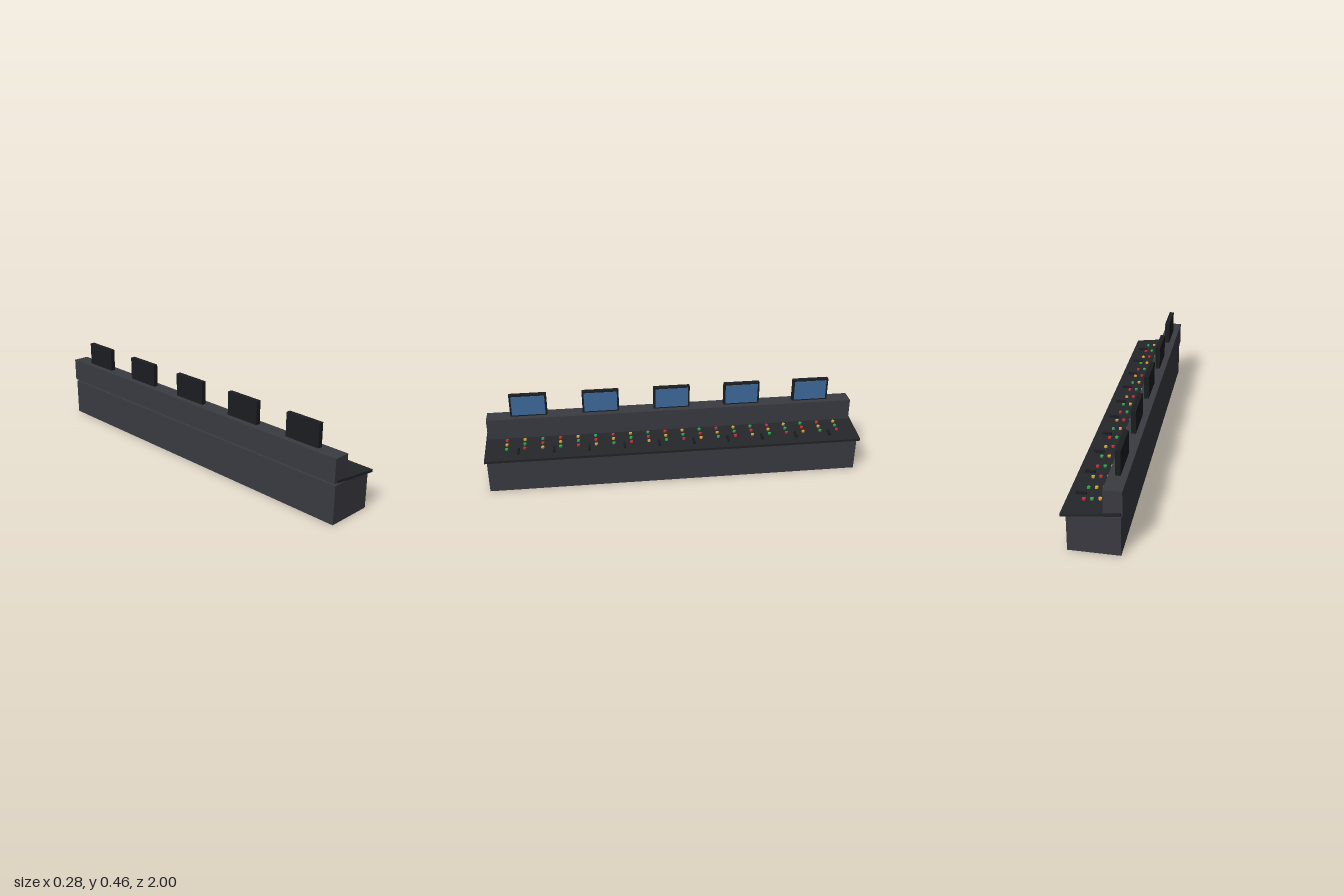
import * as THREE from 'three';

const mat = (color) => new THREE.MeshStandardMaterial({ color });

export function createModel() {
  const console_ = new THREE.Group();
  console_.name = 'controlConsole';
  const body = mat(0x3a3b42), dark = mat(0x242629), black = mat(0x1c1d20), glass = mat(0x3f6ca0);
  const lights = [mat(0xc8303c), mat(0xd8a838), mat(0x30a850)];

  const add = (name, geometry, material, x, y, z, parent = console_) => {
    const mesh = new THREE.Mesh(geometry, material);
    mesh.name = name;
    mesh.position.set(x, y, z);
    parent.add(mesh);
    return mesh;
  };
  const box = (w, h, d) => new THREE.BoxGeometry(w, h, d);

  // Long cabinet, sloping desk and raised rear shelf
  add('cabinet', box(0.247, 0.199, 1.98), body, -0.011, 0.0995, 0);
  const desk = add('deskTop', box(0.274, 0.0135, 2), dark, 0.001, 0.2065, 0);
  desk.rotation.z = -0.12;
  add('rearShelf', box(0.087, 0.124, 1.98), body, -0.097, 0.273, 0);

  // Row of five monitors facing the operator side
  const caseGeo = box(0.025, 0.125, 0.196), screenGeo = box(0.003, 0.108, 0.176);
  for (let i = 0; i < 5; i++) {
    const monitor = new THREE.Group();
    monitor.name = 'monitor';
    monitor.position.set(-0.0965, 0.396, (i - 2) * 0.383);
    add('monitorCase', caseGeo, black, 0, 0, 0, monitor);
    add('monitorScreen', screenGeo, glass, 0.0127, 0, 0, monitor);
    console_.add(monitor);
  }

  // Three columns of coloured push buttons stepping down the slope
  const buttonGeo = new THREE.CylinderGeometry(0.0085, 0.0085, 0.009, 10);
  for (let row = 0; row < 20; row++) {
    for (let col = 0; col < 3; col++) {
      add('button', buttonGeo, lights[(col - row + 61) % 3],
        -0.022 + col * 0.037, 0.2255 - col * 0.005, -0.893 + row * 0.0937);
    }
  }

  // Slider handles along the lower edge
  const sliderGeo = box(0.05, 0.012, 0.012);
  for (let i = 0; i < 10; i++) add('slider', sliderGeo, black, 0.076, 0.213, -0.842 + i * 0.1853);

  return console_;
}
